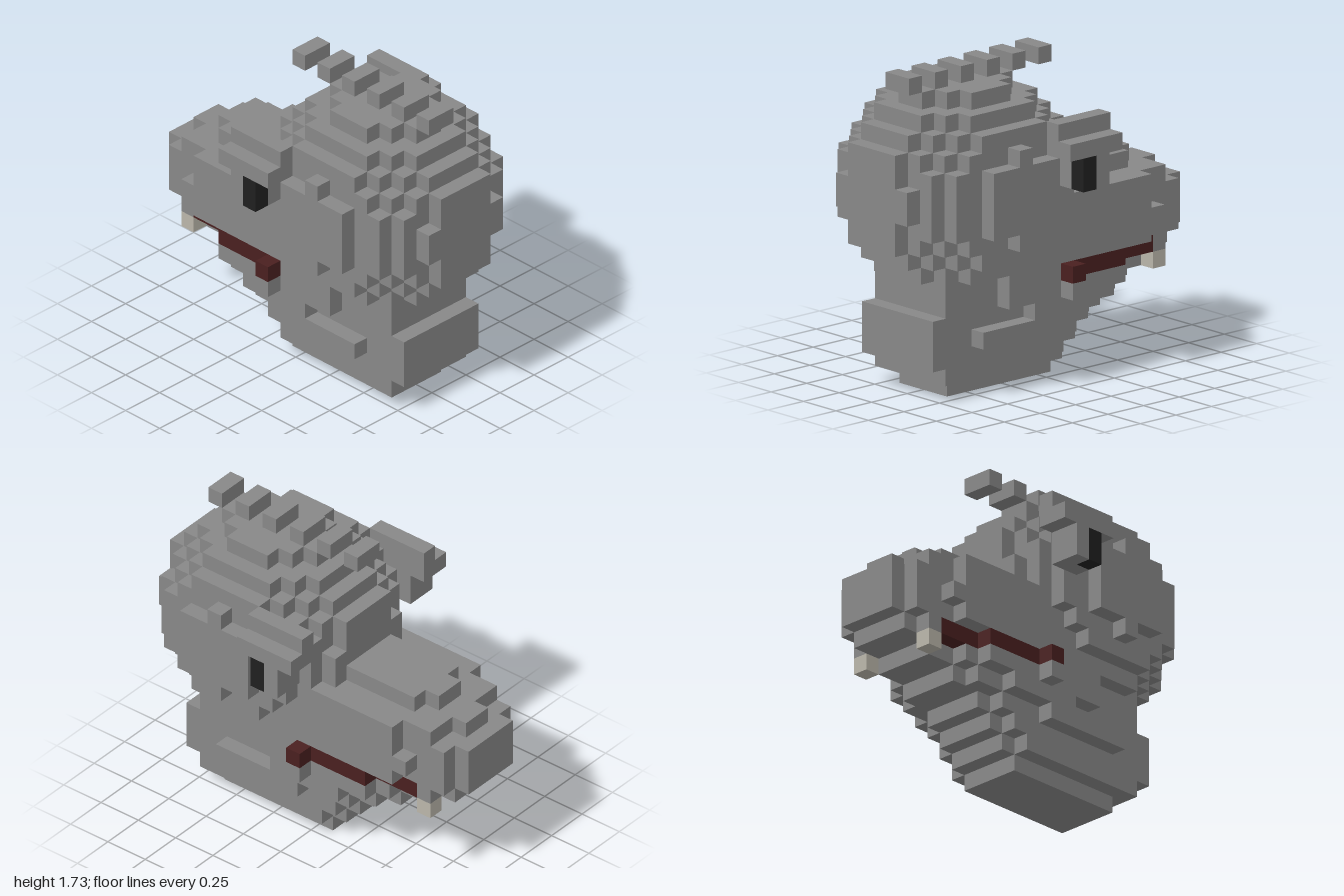
import * as THREE from 'three';
import { mergeGeometries } from 'three/addons/utils/BufferGeometryUtils.js';

const V = 1 / 11; // edge of one block

const mat = (name, color) => {
  const m = new THREE.MeshStandardMaterial({ color });
  m.name = name;
  return m;
};

// box given by its limits in blocks
function box(x0, x1, y0, y1, z0, z1) {
  return new THREE.BoxGeometry((x1 - x0) * V, (y1 - y0) * V, (z1 - z0) * V)
    .translate((x0 + x1) / 2 * V, (y0 + y1) / 2 * V, (z0 + z1) / 2 * V);
}
// box centred on x with half width w
const mid = (w, y0, y1, z0, z1) => box(-w, w, y0, y1, z0, z1);
// the same box on both sides
const pair = (x0, x1, ...r) => [box(x0, x1, ...r), box(-x1, -x0, ...r)];

function part(group, name, material, boxes) {
  const mesh = new THREE.Mesh(mergeGeometries(boxes), material);
  mesh.name = name;
  group.add(mesh);
}

// blocky ellipsoid made of one bar per row
function skullRows() {
  const rows = [];
  for (let y = 6; y < 18; y++) {
    for (let z = -2; z < 11; z++) {
      const dy = y + 0.5 - 12, dz = z + 0.5 - 4.5;
      let w = 0;
      while ((w + 0.5) ** 2 / 37 + dy * dy / 39 + dz * dz / 44 <= 1) w++;
      if (w) rows.push(mid(w, y, y + 1, z, z + 1));
    }
  }
  return rows;
}

export function createModel() {
  const g = new THREE.Group();
  g.name = 'blockHead';
  const grey = mat('grey skin', 0x888888);
  const red = mat('dark red mouth', 0x4a2020);
  const black = mat('black eye', 0x202020);
  const bone = mat('bone tooth', 0xbab6aa);

  // rounded skull with a flat plate at each end
  part(g, 'skull', grey, [...skullRows(), mid(2, 9, 15, 10, 11), mid(2, 9, 15, -2, -1)]);

  // stepped neck
  part(g, 'neck', grey, [
    mid(2, 0, 1, -1, 7),
    mid(3, 1, 2, -1, 8), mid(2, 1, 2, -2, -1),
    mid(3, 2, 5, -2, 9), mid(2, 2, 3, -3, -2),
    mid(3, 5, 7, 0, 8),
  ]);
  part(g, 'neckRidge', grey, pair(3, 4, 3, 4, 0, 6));

  // lower jaw, narrowing towards the tip
  part(g, 'lowerJaw', grey, [
    mid(3, 3, 4, -3, 0), mid(2, 3, 4, -4, -3),
    mid(4, 4, 5, -3, 2), mid(3, 4, 5, -5, -3), mid(2, 4, 5, -6, -5),
    mid(4, 5, 6, -5, 4), mid(3, 5, 6, -6, -5), mid(2, 5, 6, -8, -6),
    mid(4, 6, 7, 0, 4),
    ...pair(4, 5, 5, 6, -1, 0),
  ]);

  // mouth line with raised corners
  part(g, 'mouth', red, [
    mid(4, 6, 7, -5, 0), mid(3, 6, 7, -8, -5),
    ...pair(4, 5, 6, 7, -1, 0),
  ]);

  // upper snout and lip
  part(g, 'snout', grey, [
    mid(4, 7, 11, -7, 2), mid(4, 8, 9, -8, -7),
    mid(3, 7, 10, -10, -7), mid(3, 10, 11, -9, -7), mid(1, 10, 11, -10, -9),
    mid(2, 7, 10, -11, -10),
    mid(2, 11, 12, -7, -1), mid(1, 11, 12, -8, -7),
    mid(3, 6, 7, -9, -8), mid(2, 6, 7, -10, -9),
  ]);
  part(g, 'teeth', bone, pair(2, 3, 5, 6, -9, -8));

  // brows, sockets and eyes
  part(g, 'brows', grey, [
    ...pair(5, 7, 14, 15, -2, 2),
    ...pair(5, 6, 15, 16, -2, 2),
  ]);
  part(g, 'eyeSockets', grey, [
    ...pair(5, 7, 12, 14, -1, 0),
    ...pair(5, 6, 12, 14, 0, 1),
  ]);
  part(g, 'eyes', black, pair(6, 7, 12, 14, 0, 1));

  // row of crest blocks
  const crest = [];
  for (let z = -2; z <= 8; z += 2) crest.push(mid(1, 18, 19, z, z + 1));
  // blocks sit at even steps, shifted to the skull's centre line
  part(g, 'crest', grey, crest);

  return g;
}
